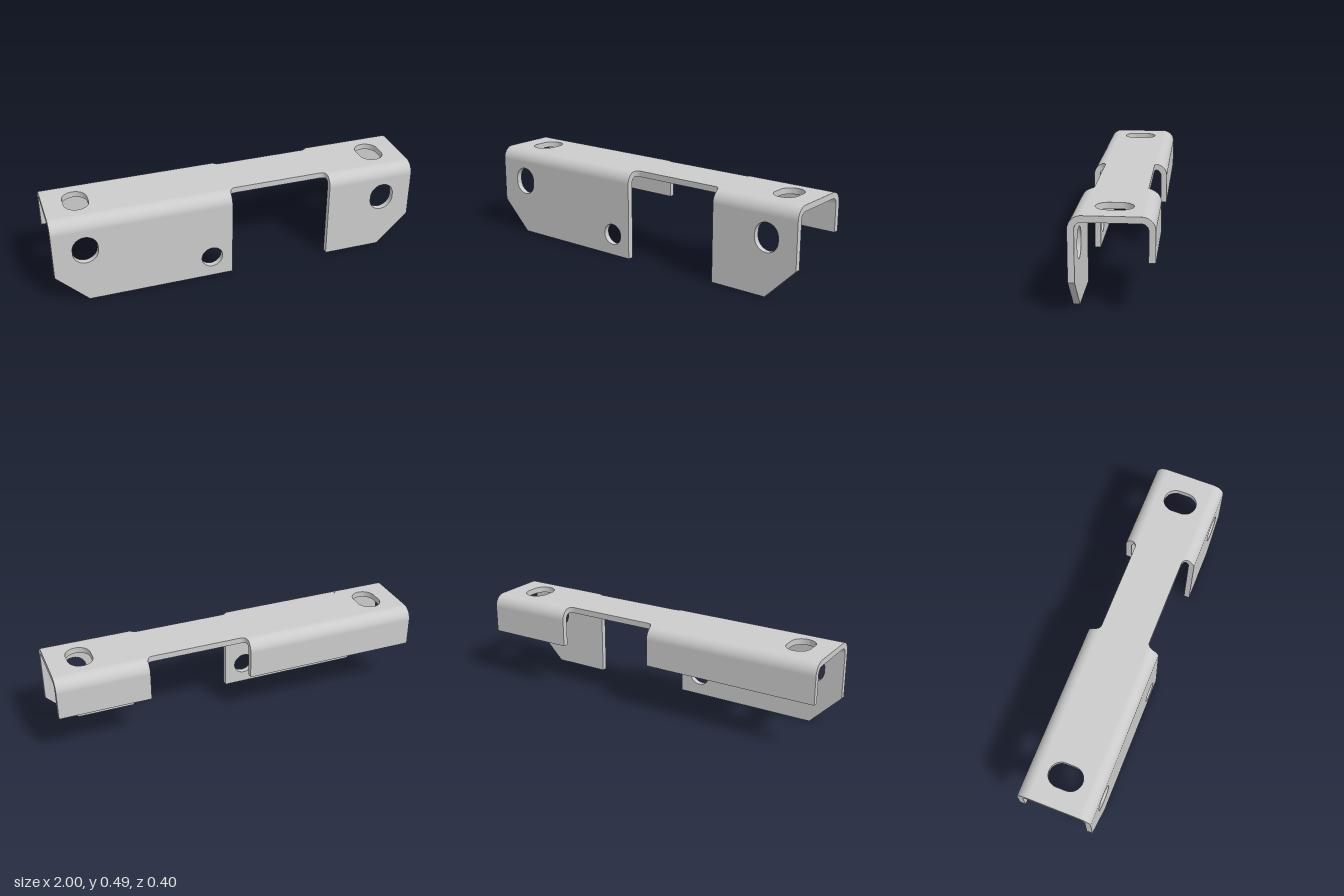
import * as THREE from 'three';
import { toCreasedNormals } from 'three/addons/utils/BufferGeometryUtils.js';

const T = 0.032;                 // sheet thickness
const R = 0.065;                 // outer bend radius
const TOP = 0.488, HALF = 0.2;   // height and half depth
const CY = TOP - R, CZ = HALF - R; // bend axis
const N0 = -0.04, N1 = 0.513;    // notch between the flange halves
const FILLET = 0.03;             // notch corner radius

const material = new THREE.MeshStandardMaterial({ color: 0xcccccc });

function addMesh(group, name, geometry) {
  const mesh = new THREE.Mesh(geometry, material);
  mesh.name = name;
  group.add(mesh);
  return mesh;
}

function polygon(points) {
  return new THREE.Shape(points.map(([x, y]) => new THREE.Vector2(x, y)));
}

// Upright rounded slot; a circle when halfHeight equals radius
function slot(x, y, radius, halfHeight) {
  const d = halfHeight - radius;
  const path = new THREE.Path();
  path.absarc(x, y + d, radius, 0, Math.PI, false);
  path.absarc(x, y - d, radius, Math.PI, Math.PI * 2, false);
  path.closePath();
  return path;
}

function sheet(shape, holes = []) {
  shape.holes.push(...holes);
  const geometry = new THREE.ExtrudeGeometry(shape, { depth: T, bevelEnabled: false, curveSegments: 20 });
  return toCreasedNormals(geometry, 0.6);
}

// Quarter bend from the top plate to the front flange; f0/f1 are fillets at its ends
function bend(x0, x1, f0, f1) {
  const steps = 24;
  const flare = (f, s) => (s < f ? f - Math.sqrt(f * f - (f - s) ** 2) : 0);
  const sections = [];
  for (let i = 0; i <= steps; i++) {
    const a = (Math.PI / 2) * (i / steps) ** 1.6;
    const s = a * (R - T / 2);
    const xa = x0 - flare(f0, s), xb = x1 + flare(f1, s);
    const at = (x, r) => [x, CY + r * Math.cos(a), CZ + r * Math.sin(a)];
    sections.push([at(xa, R), at(xb, R), at(xb, R - T), at(xa, R - T)]);
  }
  // Outer, end, inner and end strips, each with its own vertices
  const positions = [], index = [];
  for (let k = 0; k < 4; k++) {
    const base = positions.length / 3;
    sections.forEach((c, i) => {
      positions.push(...c[k], ...c[(k + 1) % 4]);
      if (i === steps) return;
      const p = base + i * 2;
      index.push(p, p + 2, p + 1, p + 1, p + 2, p + 3);
    });
  }
  const geometry = new THREE.BufferGeometry();
  geometry.setAttribute('position', new THREE.Float32BufferAttribute(positions, 3));
  geometry.setIndex(index);
  geometry.computeVertexNormals();
  return geometry;
}

export function createModel() {
  const group = new THREE.Group();
  group.name = 'bracket';

  // Top plate with two slots; its middle is the neck between the notches
  const top = sheet(
    polygon([[-1, -CZ], [1, -CZ], [1, CZ], [-1, CZ]]),
    [-0.83, 0.83].map((x) => slot(x, 0, 0.065, 0.091))
  );
  top.rotateX(-Math.PI / 2);
  top.translate(0, TOP - T, 0);
  addMesh(group, 'topPlate', top);

  // Front flanges with chamfered outer corners
  const c = 0.17;
  const frontRight = sheet(
    polygon([[-1 + c, 0], [N0, 0], [N0, CY], [-1, CY], [-1, c]]),
    [slot(-0.83, 0.308, 0.067, 0.077), slot(-0.155, 0.118, 0.058, 0.058)]
  );
  const frontLeft = sheet(
    polygon([[N1, 0], [1 - c, 0], [1, c], [1, CY], [N1, CY]]),
    [slot(0.83, 0.308, 0.067, 0.077)]
  );
  addMesh(group, 'frontFlangeRight', frontRight).position.z = HALF - T;
  addMesh(group, 'frontFlangeLeft', frontLeft).position.z = HALF - T;

  // Short back flanges
  const low = 0.273;
  [['Right', -1, N0], ['Left', N1, 1]].forEach(([side, a, b]) => {
    const back = sheet(polygon([[a, low], [b, low], [b, CY], [a, CY]]));
    addMesh(group, 'backFlange' + side, back).position.z = -HALF;
  });

  // Bends; the back pair is the front form turned half round
  addMesh(group, 'frontBendRight', bend(-1, N0, 0, FILLET));
  addMesh(group, 'frontBendLeft', bend(N1, 1, FILLET, 0));
  addMesh(group, 'backBendRight', bend(-N0, 1, FILLET, 0)).rotation.y = Math.PI;
  addMesh(group, 'backBendLeft', bend(-1, -N1, 0, FILLET)).rotation.y = Math.PI;

  return group;
}
